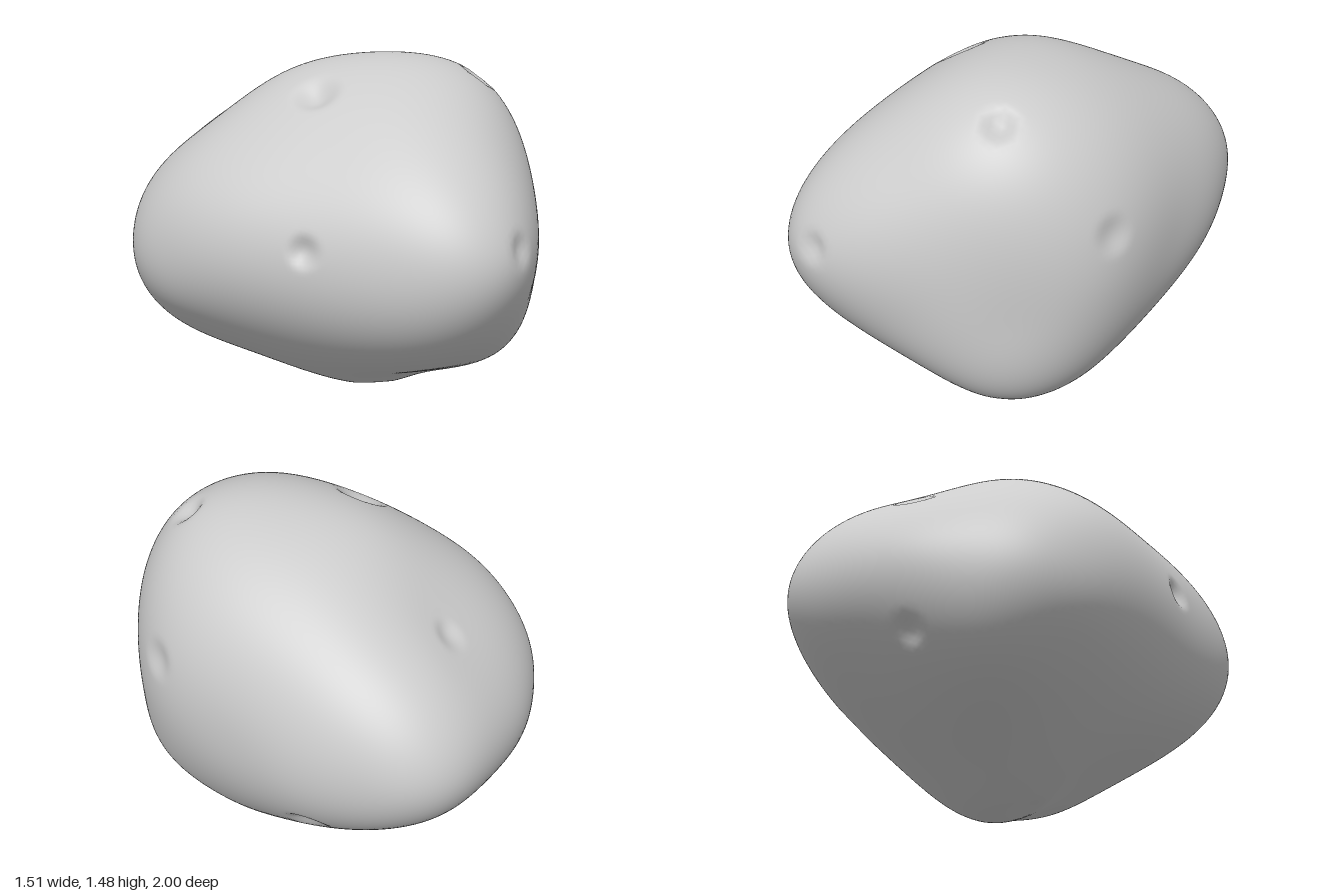
import * as THREE from 'three';
import { mergeVertices } from 'three/addons/utils/BufferGeometryUtils.js';

const V = (p) => new THREE.Vector3(...p);
const CENTRE = V([0, 0.73, 0]);

// Guide loops round the boulder: one across, one lengthwise, one at the waist
const acrossLoop = [
  [0.2, 1.46, 0.05], [0.5, 1.34, 0.3], [0.71, 1.03, 0], [0.755, 0.8, 0.1], [0.68, 0.43, 0],
  [0.6, 0.27, 0], [0.49, 0.15, 0.4], [0.2, -0.005, 0.1], [-0.02, 0.05, 0.1], [-0.38, 0.23, -0.2],
  [-0.62, 0.41, -0.25], [-0.71, 0.51, -0.3], [-0.755, 0.73, -0.3], [-0.7, 0.96, -0.2],
  [-0.55, 1.13, 0], [-0.12, 1.4, -0.17],
];
const lengthLoop = [
  [0.36, 1.4, 0.4], [0.15, 1.18, 0.72], [-0.12, 0.9, 0.96], [-0.17, 0.8, 1.005], [-0.1, 0.57, 0.93],
  [0.1, 0.35, 0.75], [0.38, 0.17, 0.53], [0.1, 0.09, -0.23], [0.1, 0.17, -0.4], [0, 0.43, -0.8],
  [0.15, 0.55, -0.93], [0.17, 0.75, -1.005], [0.17, 0.85, -0.98], [0.05, 1.13, -0.73],
  [0.1, 1.27, -0.5], [0.2, 1.38, -0.26],
];
const waistLoop = [
  [0.37, 0.75, -0.92], [0.48, 0.75, -0.78], [0.61, 0.65, -0.53], [0.69, 0.75, -0.25],
  [0.74, 0.75, 0.24], [0.56, 0.6, 0.55], [0.42, 0.6, 0.7], [0.25, 0.6, 0.81], [-0.38, 0.75, 0.9],
  [-0.5, 0.8, 0.7], [-0.61, 0.75, 0.42], [-0.68, 0.75, 0.2], [-0.72, 0.65, -0.48],
  [-0.55, 0.65, -0.7], [-0.35, 0.75, -0.85], [0, 0.75, -0.98],
];
// Faces and bulges between the loops
const bulges = [
  [0.52, 0.4, -0.48], [-0.48, 0.33, -0.52], [-0.1, 1.14, -0.62], [0.56, 1.04, -0.46],
  [-0.4, 1.2, 0.3], [-0.38, 0.95, 0.82], [-0.4, 0.5, 0.75], [0.05, 0.14, 0.35], [0.28, 0.08, 0.28],
];
// Small dents: position, radius, depth
const dents = [
  [[0.37, 1.37, 0.42], 0.09, 0.04], [[-0.25, 1.34, 0.08], 0.12, 0.045],
  [[-0.65, 0.83, 0.35], 0.08, 0.03], [[-0.1, 0.84, 0.96], 0.08, 0.025],
  [[0.74, 0.95, 0.16], 0.1, 0.02], [[0.49, 0.41, -0.49], 0.1, 0.03],
  [[-0.1, 1.12, -0.62], 0.08, 0.02], [[0.08, 0.03, 0.1], 0.1, 0.015],
  [[-0.27, 0.45, -0.76], 0.08, 0.025],
].map(([p, radius, depth]) => ({ dir: V(p).sub(CENTRE).normalize(), radius, depth }));

// Gaussian elimination with pivoting; each row ends with its right-hand side
function solve(m) {
  const n = m.length;
  for (let c = 0; c < n; c++) {
    let p = c;
    for (let r = c + 1; r < n; r++) if (Math.abs(m[r][c]) > Math.abs(m[p][c])) p = r;
    [m[c], m[p]] = [m[p], m[c]];
    for (let r = 0; r < n; r++) {
      if (r === c) continue;
      const f = m[r][c] / m[c][c];
      if (f) for (let k = c; k <= n; k++) m[r][k] -= f * m[c][k];
    }
  }
  return m.map((row, i) => row[n] / row[i]);
}

// Smooth radius over all directions, fitted to the guide points (fits 1/r so faces stay flat)
function fitRadius(points, smoothing) {
  const offsets = points.map((p) => V(p).sub(CENTRE));
  const dirs = offsets.map((o) => o.clone().normalize());
  const terms = (d) => [...dirs.map((q) => q.distanceTo(d) ** 3), 1, d.x, d.y, d.z];
  const rows = dirs.map((d, i) => {
    const row = terms(d);
    row[i] += smoothing;
    return [...row, 1 / offsets[i].length()];
  });
  for (const f of [() => 1, (d) => d.x, (d) => d.y, (d) => d.z]) {
    rows.push([...dirs.map(f), 0, 0, 0, 0, 0]);
  }
  const w = solve(rows);
  return (d) => 1 / terms(d).reduce((sum, t, i) => sum + t * w[i], 0);
}

function boulderGeometry() {
  const radiusAt = fitRadius([...acrossLoop, ...lengthLoop, ...waistLoop, ...bulges], 0.004);
  let geo = new THREE.IcosahedronGeometry(1, 40);
  geo.deleteAttribute('uv');
  geo.deleteAttribute('normal');
  geo = mergeVertices(geo, 1e-4);
  const pos = geo.attributes.position;
  const d = new THREE.Vector3();
  for (let i = 0; i < pos.count; i++) {
    d.fromBufferAttribute(pos, i).normalize();
    let r = radiusAt(d);
    for (const dent of dents) {
      const t = (d.distanceTo(dent.dir) * r) / dent.radius;
      if (t < 1) r -= dent.depth * (1 - t * t) ** 2;
    }
    pos.setXYZ(i, d.x * r, d.y * r, d.z * r);
  }
  // Rest on the ground, centred
  geo.computeBoundingBox();
  const mid = geo.boundingBox.getCenter(new THREE.Vector3());
  geo.translate(-mid.x, -geo.boundingBox.min.y, -mid.z);
  geo.computeVertexNormals();
  return geo;
}

export function createModel() {
  const group = new THREE.Group();
  group.name = 'rock';
  const boulder = new THREE.Mesh(
    boulderGeometry(),
    new THREE.MeshStandardMaterial({ color: 0xcccccc }),
  );
  boulder.name = 'boulder';
  group.add(boulder);
  return group;
}
